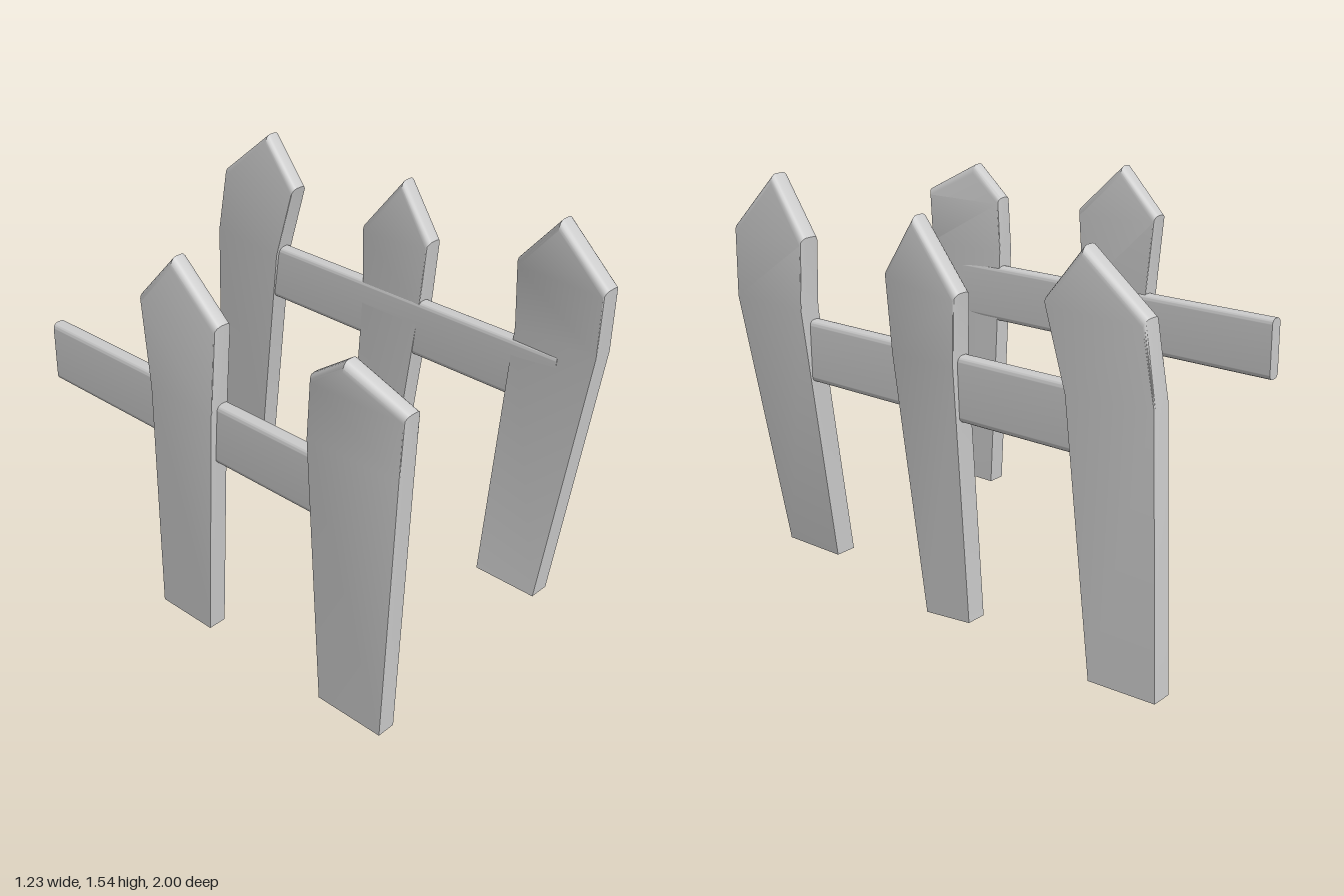
import * as THREE from 'three';
import { toCreasedNormals } from 'three/addons/utils/BufferGeometryUtils.js';

const material = new THREE.MeshStandardMaterial({ color: 0xcccccc, side: THREE.DoubleSide });

// Outline points run up the front edge, over the peak and down the back edge: [z, y, centre x]
const pickets = [
  { name: 'rightFrontPicket', half: 0.043, pts: [
    [0.87, 0.04, 0.445], [0.955, 1.06, 0.57], [0.975, 1.33, 0.555], [0.77, 1.54, 0.54],
    [0.58, 1.33, 0.575], [0.6, 1.06, 0.575], [0.6, 0.04, 0.445]] },
  { name: 'rightMiddlePicket', half: 0.04, pts: [
    [0.045, 0, 0.53], [0.155, 0.98, 0.56], [0.19, 1.27, 0.557], [0.045, 1.48, 0.562],
    [-0.155, 1.24, 0.57], [-0.13, 0.98, 0.56], [-0.16, 0.02, 0.53]] },
  { name: 'rightRearPicket', half: 0.04, pts: [
    [-0.73, 0.01, 0.578], [-0.6, 0.98, 0.545], [-0.52, 1.29, 0.56], [-0.68, 1.48, 0.567],
    [-0.91, 1.28, 0.55], [-0.945, 1, 0.545], [-1, 0.02, 0.578]] },
  { name: 'leftFrontPicket', half: 0.037, pts: [
    [0.94, 0.03, -0.541], [0.985, 1.08, -0.545], [1, 1.31, -0.541], [0.78, 1.43, -0.58],
    [0.61, 1.31, -0.55], [0.61, 1.08, -0.555], [0.66, 0.03, -0.541]] },
  { name: 'leftMiddlePicket', half: 0.037, pts: [
    [0.105, 0.03, -0.541], [0.17, 0.98, -0.56], [0.19, 1.32, -0.546], [-0.015, 1.51, -0.55],
    [-0.175, 1.33, -0.562], [-0.135, 0.98, -0.56], [-0.15, 0.03, -0.541]] },
];

// Bent board with a pointed top whose long edges are rounded
function picketGeometry(pts, half) {
  const r = 0.026, steps = 4, layers = [];
  for (let s = 0; s <= steps; s++) {
    const a = (s / steps) * Math.PI / 2;
    layers.push([-half + r * (1 - Math.cos(a)), r * (1 - Math.sin(a))]);
  }
  for (let s = steps; s >= 0; s--) layers.push([-layers[s][0], layers[s][1]]);

  const position = [], index = [], n = pts.length;
  for (const [dx, inset] of layers) {
    pts.forEach(([z, y, x], i) => {
      const inward = i === 2 ? -0.4 : i === 4 ? 0.4 : 0;
      const down = i === 3 ? 1.4 : inward ? 1 : 0;
      position.push(x + dx, y - inset * down, z + inset * inward);
    });
  }
  // Rim
  for (let k = 0; k < layers.length - 1; k++) {
    for (let i = 0; i < n; i++) {
      const j = (i + 1) % n, a = k * n, b = a + n;
      index.push(a + i, b + i, a + j, a + j, b + i, b + j);
    }
  }
  // Two broad faces
  const end = (layers.length - 1) * n;
  for (const [a, b, c] of [[0, 6, 5], [0, 5, 1], [1, 5, 4], [1, 4, 2], [2, 4, 3]]) {
    index.push(end + a, end + b, end + c, a, c, b);
  }
  const geometry = new THREE.BufferGeometry();
  geometry.setAttribute('position', new THREE.Float32BufferAttribute(position, 3));
  geometry.setIndex(index);
  return toCreasedNormals(geometry, 0.55);
}

// Horizontal rail with rounded top and bottom edges and flat ends
function railGeometry(width, height, length) {
  const w = width / 2, h = height / 2, r = 0.022, shape = new THREE.Shape();
  shape.absarc(w - r, h - r, r, 0, Math.PI / 2);
  shape.absarc(-w + r, h - r, r, Math.PI / 2, Math.PI);
  shape.absarc(-w + r, -h + r, r, Math.PI, Math.PI * 1.5);
  shape.absarc(w - r, -h + r, r, Math.PI * 1.5, Math.PI * 2);
  const geometry = new THREE.ExtrudeGeometry(shape, { depth: length, bevelEnabled: false, curveSegments: 5 });
  return toCreasedNormals(geometry, 0.55);
}

export function createModel() {
  const group = new THREE.Group();
  group.name = 'fence';
  const add = (name, geometry) => {
    const mesh = new THREE.Mesh(geometry, material);
    mesh.name = name;
    group.add(mesh);
    return mesh;
  };

  for (const { name, pts, half } of pickets) add(name, picketGeometry(pts, half));

  // Rails: name, centre x, rear z, front z
  for (const [name, x, rear, front] of [['rightRail', 0.547, -0.76, 0.8], ['leftRail', -0.541, -0.72, 0.84]]) {
    add(name, railGeometry(0.058, 0.24, front - rear)).position.set(x, 0.895, rear);
  }
  return group;
}
